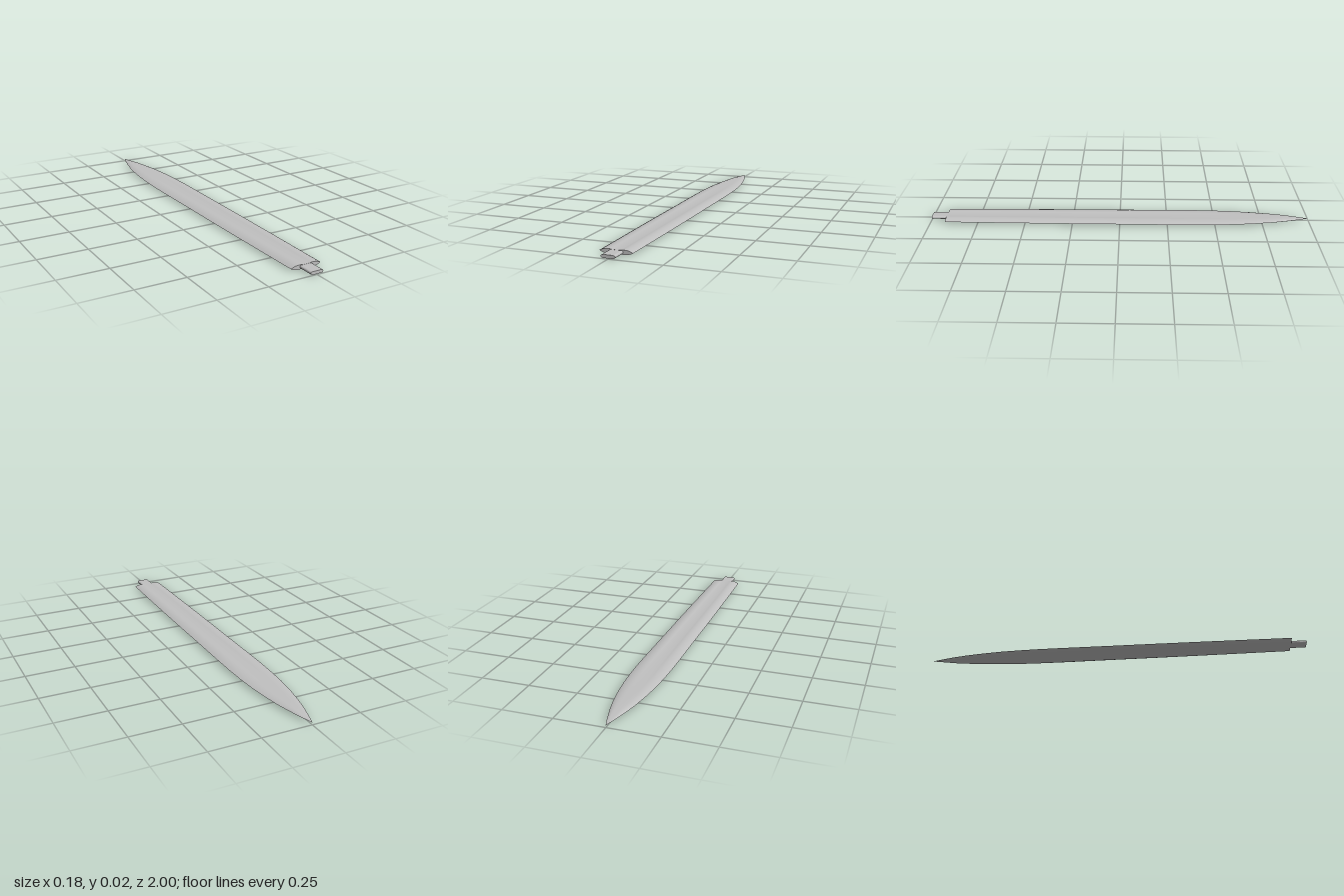
import * as THREE from 'three';

const MID = 0.011; // height of the cutting edge plane
const BASE = 0.92; // z of the shoulders

// Half width of the blade along its length: [z, half width]
const OUTLINE = [
  [BASE, 0.08], [0.7, 0.083], [0.45, 0.086], [0.2, 0.088], [0, 0.0885], [-0.2, 0.09],
  [-0.3, 0.0905], [-0.4, 0.09], [-0.5, 0.087], [-0.6, 0.081], [-0.7, 0.07],
  [-0.8, 0.054], [-0.87, 0.038], [-0.93, 0.022], [-0.97, 0.01], [-1, 0.0002],
];

// Half cross-section: [fraction of half width, height with fuller, height without]
const SECTION = [
  [0, 0.0083, 0.0087], [0.24, 0.0085, 0.0086], [0.34, 0.0102, 0.0084], [0.46, 0.011, 0.0081],
  [0.58, 0.0106, 0.0074], [0.72, 0.0088, 0.006], [0.86, 0.0052, 0.0036], [1, 0, 0],
];

// Points of one blade face from -x to +x at a given station
function stationPoints([z, w], side) {
  const fade = THREE.MathUtils.smoothstep(-z, 0.1, 0.85);
  const taper = 1 - THREE.MathUtils.smoothstep(-z, 0.85, 1);
  const half = SECTION.map(([f, a, b]) => [f * w, THREE.MathUtils.lerp(a, b, fade) * taper]);
  const mirrored = half.slice(1).reverse().map(([x, h]) => [-x, h]);
  return [...mirrored, ...half].map(([x, h]) => [x, MID + side * h, z]);
}

// Skin a grid of rows, so that smooth normals stay inside one face
function skin(rows, flip) {
  const n = rows[0].length;
  const index = [];
  for (let i = 0; i < rows.length - 1; i++) {
    for (let j = 0; j < n - 1; j++) {
      const a = i * n + j, b = a + 1, c = a + n, d = c + 1;
      if (flip) index.push(a, c, b, b, c, d);
      else index.push(a, b, c, b, d, c);
    }
  }
  const geo = new THREE.BufferGeometry();
  geo.setAttribute('position', new THREE.Float32BufferAttribute(rows.flat(2), 3));
  geo.setIndex(index);
  geo.computeVertexNormals();
  return geo;
}

export function createModel() {
  const group = new THREE.Group();
  const steel = new THREE.MeshStandardMaterial({ color: 0xc0c0c0 });
  steel.name = 'steel';
  const add = (name, geo) => {
    const mesh = new THREE.Mesh(geo, steel);
    mesh.name = name;
    group.add(mesh);
    return mesh;
  };

  // Upper and lower blade faces, meeting in a sharp edge
  add('bladeTop', skin(OUTLINE.map((s) => stationPoints(s, 1)), false));
  add('bladeBottom', skin(OUTLINE.map((s) => stationPoints(s, -1)), true));

  // Flat shoulder closing the base of the blade
  add('shoulder', skin([stationPoints(OUTLINE[0], -1), stationPoints(OUTLINE[0], 1)], false));

  // Short tang with rounded sides
  const w = 0.033, h = 0.0077, c = 0.012;
  const shape = new THREE.Shape();
  shape.moveTo(-w + c, -h);
  shape.lineTo(w - c, -h);
  shape.bezierCurveTo(w - 0.003, -h, w, -h * 0.6, w, 0);
  shape.bezierCurveTo(w, h * 0.6, w - 0.003, h, w - c, h);
  shape.lineTo(-w + c, h);
  shape.bezierCurveTo(-w + 0.003, h, -w, h * 0.6, -w, 0);
  shape.bezierCurveTo(-w, -h * 0.6, -w + 0.003, -h, -w + c, -h);
  const tang = add('tang', new THREE.ExtrudeGeometry(shape, { depth: 0.1, bevelEnabled: false, curveSegments: 8 }));
  tang.position.set(0, MID, 0.9);

  return group;
}
